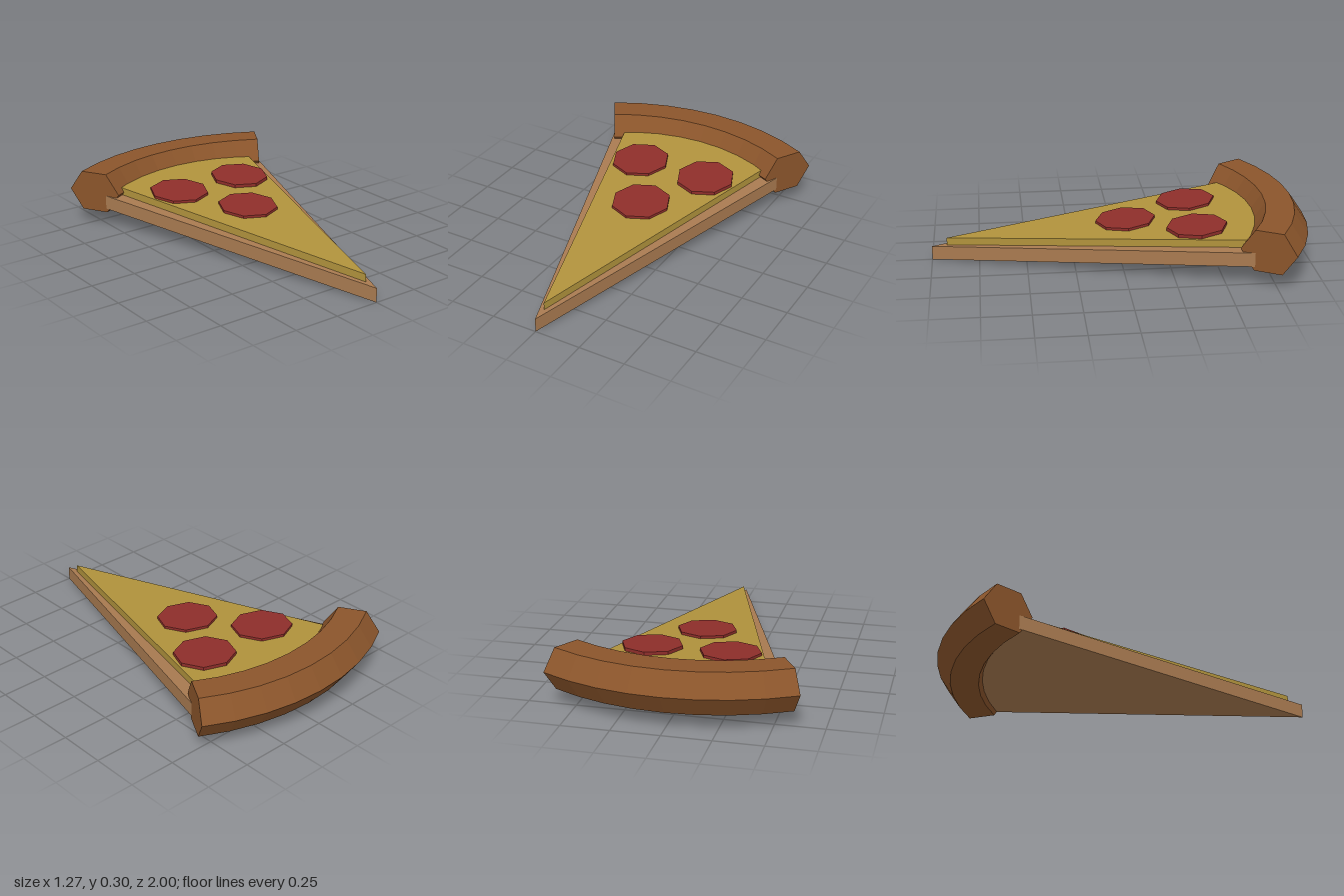
import * as THREE from 'three';

const ARC_Z = 0.27;            // centre of the crust arc on the z axis
const HALF = Math.PI / 6;      // half of the crust's sweep
const SLOPE = 0.0645;          // rise of the slice from tip to crust

const paint = (color) => new THREE.MeshStandardMaterial({ color, flatShading: true });

function addMesh(group, name, geometry, material) {
  const mesh = new THREE.Mesh(geometry, material);
  mesh.name = name;
  group.add(mesh);
  return mesh;
}

// Lift vertices in proportion to their distance from the tip
function tilt(geometry) {
  const p = geometry.attributes.position;
  for (let i = 0; i < p.count; i++) p.setY(i, p.getY(i) + (1 - p.getZ(i)) * SLOPE);
  geometry.computeVertexNormals();
  return geometry;
}

// Wedge with a pointed front and a back edge following the crust arc
function wedge(tipZ, cornerX, radius, bottom, top) {
  const shape = new THREE.Shape();
  shape.moveTo(0, -tipZ);
  const a = Math.asin(cornerX / radius);
  for (let i = 0; i <= 8; i++) {
    const t = a - (2 * a * i) / 8;
    shape.lineTo(radius * Math.sin(t), radius * Math.cos(t) - ARC_Z);
  }
  shape.closePath();
  const g = new THREE.ExtrudeGeometry(shape, { depth: top - bottom, bevelEnabled: false });
  g.rotateX(-Math.PI / 2).translate(0, bottom, 0);
  return tilt(g);
}

export function createModel() {
  const model = new THREE.Group();
  model.name = 'pizzaSlice';

  // Dough and cheese layers
  addMesh(model, 'doughBase', wedge(1, 0.525, 1.05, 0, 0.075), paint(0xa87a50));
  addMesh(model, 'cheese', wedge(0.92, 0.457, 1.045, 0.07, 0.115), paint(0xb0923c));

  // Crust: squashed hexagon swept along an arc, with capped ends
  const crust = new THREE.Group();
  crust.name = 'crust';
  crust.position.set(0, 0.195, ARC_Z);
  model.add(crust);
  const crustPaint = paint(0x8b552b);
  const hexagon = [];
  for (let i = 0; i <= 6; i++) {
    const t = (i * Math.PI) / 3;
    hexagon.push(new THREE.Vector2(1.12 + 0.15 * Math.cos(t), 0.127 * Math.sin(t)));
  }
  addMesh(crust, 'crustRim',
    new THREE.LatheGeometry(hexagon, 8, Math.PI - HALF, 2 * HALF), crustPaint);
  for (const side of [-1, 1]) {
    const phi = Math.PI + side * HALF;
    const cap = new THREE.CircleGeometry(1, 6).scale(0.15, 0.127, 1);
    if (side > 0) cap.rotateY(Math.PI);
    cap.rotateY(phi - Math.PI / 2);
    cap.translate(1.12 * Math.sin(phi), 0, 1.12 * Math.cos(phi));
    addMesh(crust, side < 0 ? 'crustEndLeft' : 'crustEndRight', cap, crustPaint);
  }

  // Pepperoni discs lying on the cheese
  const pepperoniPaint = paint(0x8e2e2a);
  const spots = [[-0.205, -0.39, 0.014], [0.205, -0.39, 0.018], [0, -0.035, 0.014]];
  for (const [x, z, rise] of spots) {
    const disc = new THREE.CylinderGeometry(0.16, 0.16, 0.03, 8);
    disc.translate(x, 0.115 + rise - 0.015, z);
    addMesh(model, 'pepperoni', tilt(disc), pepperoniPaint);
  }

  return model;
}
